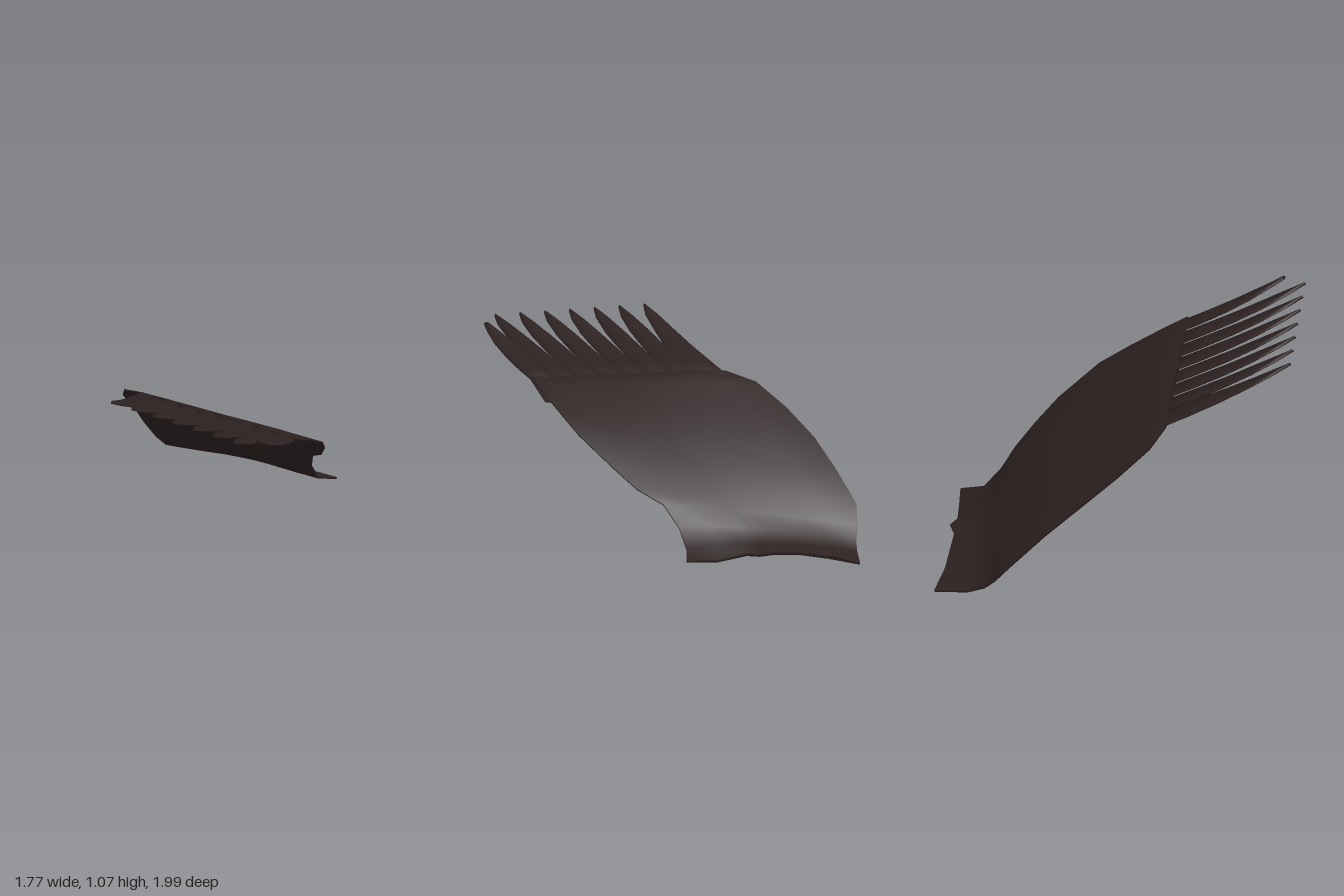
import * as THREE from 'three';

const plumage = new THREE.MeshStandardMaterial({ color: 0x2d2121 });
plumage.name = 'dark brown plumage';

const lerp = THREE.MathUtils.lerp;
const mix = (a, b, t) => a.map((v, k) => lerp(v, b[k], t));

// Closed thin shell from rows of mid-surface points; thickness tapers to the side edges.
function shell(rows, thickness, name) {
  const n = rows[0].length, ring = 2 * n;
  const pos = [], index = [];
  const up = [0.5, 0.85, -0.15];
  const quad = (a, b, c, d) => index.push(a, b, c, a, c, d);
  rows.forEach((row) => {
    for (let j = 0; j < ring; j++) {
      const top = j < n, c = top ? j : ring - 1 - j;
      const edge = c === 0 || c === n - 1 ? 0.45 : 1;
      const h = (top ? 1 : -1) * thickness * edge;
      pos.push(...row[c].map((v, k) => v + up[k] * h));
    }
  });
  for (let i = 0; i < rows.length - 1; i++) {
    for (let j = 0; j < ring; j++) {
      const k = (j + 1) % ring, a = i * ring, b = a + ring;
      quad(a + j, b + j, b + k, a + k);
    }
  }
  // end caps
  const e = (rows.length - 1) * ring;
  for (let j = 0; j < n - 1; j++) {
    const o = ring - 1 - j;
    quad(j, j + 1, o - 1, o);
    quad(e + o, e + o - 1, e + j + 1, e + j);
  }
  const g = new THREE.BufferGeometry();
  g.setAttribute('position', new THREE.Float32BufferAttribute(pos, 3));
  g.setIndex(index);
  g.computeVertexNormals();
  const mesh = new THREE.Mesh(g, plumage);
  mesh.name = name;
  return mesh;
}

// Wing membrane: a ragged root, then stations given by rear edge and front edge.
function wingBlade() {
  const chord = [0, 0.18, 0.34, 0.49, 0.58, 0.65, 0.82, 1];
  const root = [
    [0.73, 0.015, -1], [0.72, 0.05, -0.83], [0.74, 0.075, -0.68], [0.76, 0.08, -0.55],
    [0.81, 0.08, -0.47], [0.79, 0.08, -0.4], [0.83, 0.055, -0.25], [0.88, 0.06, -0.08],
  ];
  const stations = [
    [[0.55, 0.04, -0.985], [0.75, 0.1, -0.08], 0.03],
    [[0.46, 0.08, -0.98], [0.67, 0.2, -0.04], 0.02],
    [[0.4, 0.14, -0.99], [0.61, 0.31, 0.04], 0.01],
    [[0.31, 0.25, -0.98], [0.55, 0.38, 0.18], 0.01],
    [[0.16, 0.4, -0.875], [0.46, 0.48, 0.31], 0.01],
    [[0, 0.54, -0.76], [0.29, 0.62, 0.49], 0.01],
    [[-0.16, 0.67, -0.61], [0.15, 0.7, 0.58], 0.01],
    [[-0.29, 0.78, -0.45], [0, 0.78, 0.67], 0.005],
    [[-0.33, 0.83, -0.29], [-0.12, 0.84, 0.74], 0],
  ];
  const rows = [root];
  for (const [rear, front, arch] of stations) {
    rows.push(chord.map((t) => {
      const p = mix(rear, front, t);
      p[1] += arch * Math.sin(Math.PI * t);
      return p;
    }));
  }
  return shell(rows, 0.012, 'wingBlade');
}

// Finger feather: tapers from the blade edge to a point, with a slight sag.
function feather(i) {
  const last = i === 7;
  const root = mix([-0.31, 0.83, -0.185], [-0.13, 0.84, 0.68], i / 7);
  const tip = last ? [-0.58, 1.04, 0.975] : [-0.885 + 0.029 * i, 1.075 - 0.003 * i, 0.14 + 0.1317 * i];
  const profile = [[0, 0.066], [0.2, 0.066], [0.45, 0.061], [0.68, 0.052], [0.88, 0.032], [1, last ? 0.015 : 0.004]];
  const across = (c, w) => [-1, -0.4, 0.4, 1].map((u) => [c[0], c[1] - 0.006 * Math.abs(u), c[2] + u * w]);
  const inner = [root[0] + 0.12, root[1] - 0.1, root[2] - 0.065];
  const rows = [across(inner, 0.05)];
  for (const [s, w] of profile) {
    const c = mix(root, tip, s);
    c[1] -= 0.015 * Math.sin(Math.PI * s);
    const extra = i === 0 ? 0.035 * Math.max(0, 1 - s * 1.6) : 0;
    rows.push(across(c, w + extra));
  }
  return shell(rows, 0.008, 'fingerFeather' + (i + 1));
}

export function createModel() {
  const wing = new THREE.Group();
  wing.name = 'wing';
  wing.add(wingBlade());
  const feathers = new THREE.Group();
  feathers.name = 'fingerFeathers';
  for (let i = 0; i < 8; i++) feathers.add(feather(i));
  wing.add(feathers);
  return wing;
}
